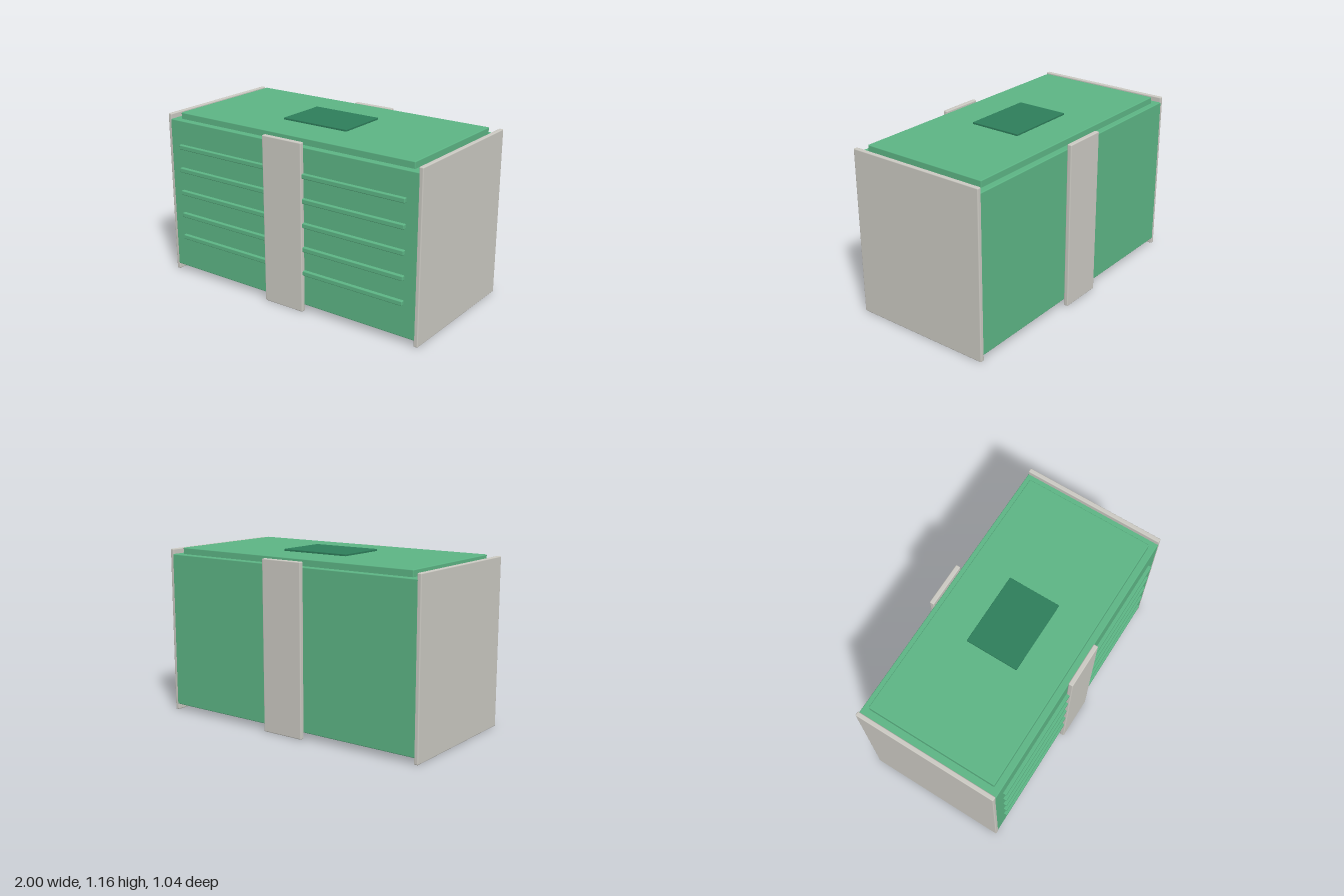
import * as THREE from 'three';
import { RoundedBoxGeometry } from 'three/addons/geometries/RoundedBoxGeometry.js';

export function createModel() {
  const model = new THREE.Group();
  model.name = 'storageCrate';

  const material = (name, color) => {
    const m = new THREE.MeshStandardMaterial({ color });
    m.name = name;
    return m;
  };
  const green = material('green', 0x5cb484);
  const darkGreen = material('darkGreen', 0x2d7d5a);
  const grey = material('warmGrey', 0xcac8c1);

  // Softly rounded block given by its minimum and maximum corners
  const block = (name, mat, min, max, radius) => {
    const a = new THREE.Vector3(...min);
    const b = new THREE.Vector3(...max);
    const size = b.clone().sub(a);
    const mesh = new THREE.Mesh(new RoundedBoxGeometry(size.x, size.y, size.z, 2, radius), mat);
    mesh.name = name;
    mesh.position.copy(a).add(b).multiplyScalar(0.5);
    model.add(mesh);
  };

  // Main body, raised lid and its dark centre plate
  block('body', green, [-0.98, 0.04, -0.49], [0.98, 1.1, 0.49], 0.006);
  block('lid', green, [-0.92, 1.08, -0.447], [0.92, 1.144, 0.447], 0.006);
  block('lidPlate', darkGreen, [-0.25, 1.142, -0.18], [0.25, 1.157, 0.18], 0.003);

  // End panels on the left and right
  block('leftEndPanel', grey, [0.97, 0, -0.49], [1, 1.135, 0.49], 0.007);
  block('rightEndPanel', grey, [-1, 0, -0.49], [-0.97, 1.135, 0.49], 0.007);

  // Upright straps on the front and back
  block('frontStrap', grey, [-0.153, 0, 0.49], [0.153, 1.135, 0.522], 0.007);
  block('backStrap', grey, [-0.153, 0, -0.522], [0.153, 1.135, -0.49], 0.007);

  // Horizontal ribs across the front
  for (let i = 0; i < 5; i++) {
    const y = 0.27 + i * 0.1625;
    block(`frontRib${i + 1}`, green, [-0.895, y - 0.016, 0.48], [0.895, y + 0.016, 0.512], 0.006);
  }

  return model;
}
